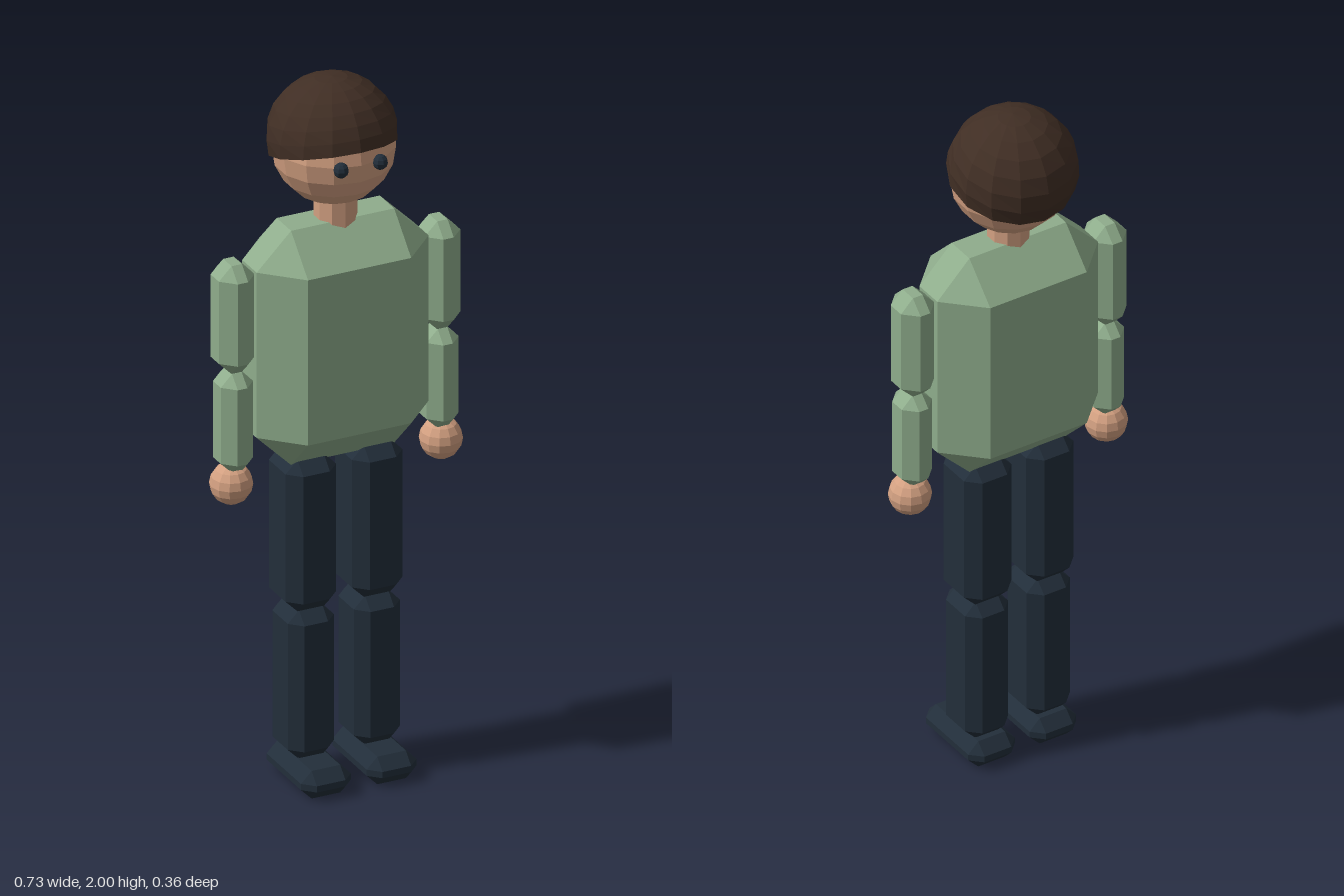
import * as THREE from 'three';
import { ConvexGeometry } from 'three/addons/geometries/ConvexGeometry.js';

function material(name, color) {
  const m = new THREE.MeshStandardMaterial({ color, flatShading: true });
  m.name = name;
  return m;
}

// Box given by its limits, with every edge cut by c
function chamferBox([x0, x1], [y0, y1], [z0, z1], c) {
  const hx = (x1 - x0) / 2, hy = (y1 - y0) / 2, hz = (z1 - z0) / 2;
  const points = [];
  for (const i of [-1, 1]) for (const j of [-1, 1]) for (const k of [-1, 1]) {
    points.push(
      new THREE.Vector3(i * hx, j * (hy - c), k * (hz - c)),
      new THREE.Vector3(i * (hx - c), j * hy, k * (hz - c)),
      new THREE.Vector3(i * (hx - c), j * (hy - c), k * hz));
  }
  return new ConvexGeometry(points).translate((x0 + x1) / 2, (y0 + y1) / 2, (z0 + z1) / 2);
}

// Low-poly ball with a vertex column facing front
function ball(rx, ry, rz, x, y, z, sides = 14, rings = 10) {
  return new THREE.SphereGeometry(1, sides, rings).rotateY(Math.PI / 2)
    .scale(rx, ry, rz).translate(x, y, z);
}

// Hair cap: dome whose lower edge slopes down to the back, then tucks inward
function hairCap() {
  const rows = 7, rx = 0.176, ry = 0.17, rz = 0.173, cy = 1.83, cz = -0.01;
  const g = new THREE.SphereGeometry(1, 14, rows + 1);
  const p = g.attributes.position;
  for (let row = 0, n = 0; row <= rows + 1; row++) {
    for (let i = 0; i <= 14; i++, n++) {
      const a = (i / 14) * Math.PI * 2;
      const edgeY = 1.803 + 0.3 * (cz + rz * Math.cos(a));
      const end = Math.acos((edgeY - cy) / ry);
      const t = end * Math.min(row, rows) / rows;
      const s = Math.sin(t) * (row > rows ? 0.86 : 1);
      p.setXYZ(n, rx * s * Math.sin(a), cy + ry * Math.cos(t), cz + rz * s * Math.cos(a));
    }
  }
  g.computeVertexNormals();
  return g;
}

export function createModel() {
  const group = new THREE.Group();
  const skin = material('skin', 0xd3a081);
  const hair = material('hair', 0x402e24);
  hair.side = THREE.DoubleSide;
  const shirt = material('shirt', 0x8fad8c);
  const trousers = material('trousers', 0x222e3a);

  const add = (name, geometry, mat) => {
    const mesh = new THREE.Mesh(geometry, mat);
    mesh.name = name;
    group.add(mesh);
  };

  // Torso, neck and head
  add('torso', chamferBox([-0.25, 0.25], [0.93, 1.61], [-0.133, 0.152], 0.1), shirt);
  add('neck', new THREE.CylinderGeometry(0.058, 0.058, 0.13, 10).translate(0, 1.635, 0.011), skin);
  add('head', ball(0.167, 0.167, 0.163, 0, 1.815, 0), skin);
  add('hair', hairCap(), hair);

  // Mirrored parts
  for (const [side, s] of [['left', 1], ['right', -1]]) {
    const span = (a, b) => (s > 0 ? [a, b] : [-b, -a]);
    add(side + 'Eye', ball(0.021, 0.021, 0.021, s * 0.057, 1.812, 0.158, 8, 6), trousers);
    add(side + 'UpperArm', chamferBox(span(0.247, 0.351), [1.222, 1.535], [-0.052, 0.071], 0.037), shirt);
    add(side + 'Forearm', chamferBox(span(0.252, 0.346), [0.935, 1.222], [-0.044, 0.068], 0.033), shirt);
    add(side + 'Hand', ball(0.058, 0.058, 0.058, s * 0.305, 0.895, 0.013, 12, 8), skin);
    add(side + 'Thigh', chamferBox(span(0.023, 0.17), [0.505, 0.945], [-0.073, 0.095], 0.035), trousers);
    add(side + 'Shin', chamferBox(span(0.029, 0.163), [0.075, 0.507], [-0.065, 0.092], 0.033), trousers);
    add(side + 'Foot', chamferBox(span(0.023, 0.168), [0, 0.08], [-0.086, 0.178], 0.031), trousers);
  }
  return group;
}
